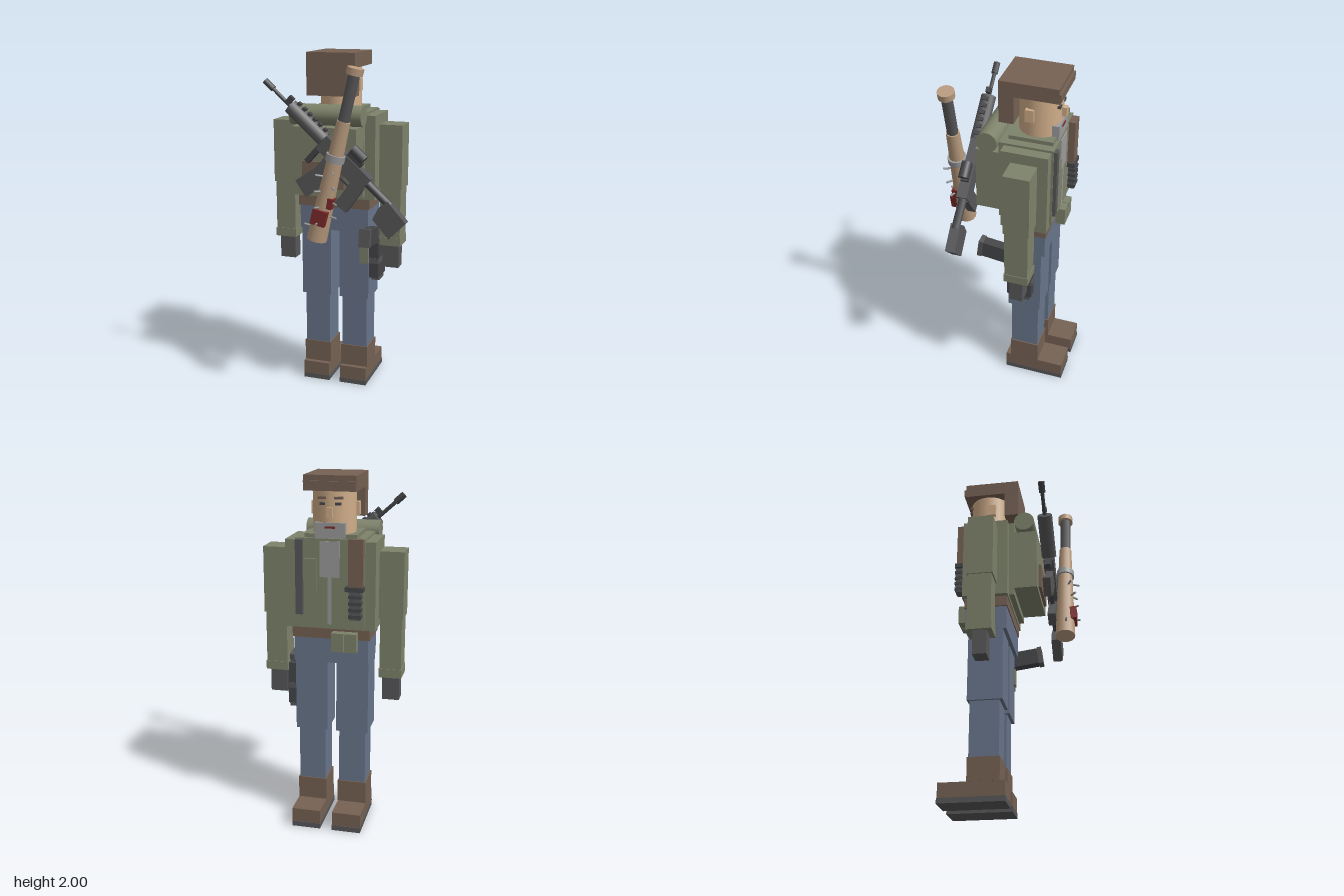
import * as THREE from 'three';

const mat = (name, color) => Object.assign(new THREE.MeshStandardMaterial({ color }), { name });

export function createModel() {
  const olive = mat('olive cloth', 0x7e836b), brown = mat('brown leather', 0x766254);
  const denim = mat('blue denim', 0x6a768c), dark = mat('dark grey', 0x58585a);
  const gun = mat('gunmetal', 0x454649), skin = mat('skin', 0xd0ad89);
  const tan = mat('tan tube', 0xba9c7f), grey = mat('light grey', 0x9c9c9c);
  const red = mat('red', 0x7d2b2b);

  const model = new THREE.Group();
  const add = (name, geo, m, parent = model) => {
    const mesh = new THREE.Mesh(geo, m);
    mesh.name = name;
    parent.add(mesh);
    return mesh;
  };
  // box given by its limits on each axis
  const box = (name, m, x0, x1, y0, y1, z0, z1, parent) => {
    const mesh = add(name, new THREE.BoxGeometry(x1 - x0, y1 - y0, z1 - z0), m, parent);
    mesh.position.set((x0 + x1) / 2, (y0 + y1) / 2, (z0 + z1) / 2);
    return mesh;
  };
  // cylinder along local x from a to b
  const rod = (name, m, a, b, r, y, parent, sides = 8, z = 0) => {
    const g = new THREE.CylinderGeometry(r, r, b - a, sides).rotateZ(-Math.PI / 2);
    const mesh = add(name, g, m, parent);
    mesh.position.set((a + b) / 2, y, z);
    return mesh;
  };
  const group = (name) => {
    const g = new THREE.Group();
    g.name = name;
    model.add(g);
    return g;
  };
  const CX = -0.057; // body centre line

  // legs, boots and arms, one of each per side
  for (const s of [-1, 1]) {
    const leg = CX + s * 0.117, arm = CX + s * 0.325;
    const limb = (name, m, c, w, y0, y1, z0, z1) => box(name, m, c - w, c + w, y0, y1, z0, z1);
    limb('sole', dark, leg, 0.083, 0, 0.03, -0.385, -0.022);
    limb('bootFoot', brown, leg, 0.082, 0.03, 0.11, -0.382, -0.024);
    limb('bootShaft', brown, leg, 0.083, 0.11, 0.24, -0.228, -0.052);
    limb('lowerLeg', denim, leg, 0.076, 0.24, 0.56, -0.222, -0.058);
    limb('thigh', denim, leg, 0.091, 0.555, 0.98, -0.235, -0.04);
    limb('upperArm', olive, arm, 0.067, 1.23, 1.6, -0.215, -0.068);
    limb('forearm', olive, arm, 0.06, 0.93, 1.23, -0.208, -0.075);
    limb('cuff', olive, arm, 0.064, 0.89, 0.94, -0.212, -0.071);
    limb('glove', dark, arm, 0.048, 0.75, 0.89, -0.177, -0.1);
  }

  // torso and clothing
  box('pelvis', denim, -0.266, 0.152, 0.97, 1.12, -0.255, -0.02);
  box('belt', brown, -0.275, 0.16, 1.11, 1.17, -0.26, -0.015);
  box('jacket', olive, -0.305, 0.193, 1.17, 1.655, -0.27, -0.01);
  box('vest', olive, -0.247, 0.133, 1.19, 1.668, -0.283, 0.02);
  box('collar', olive, -0.2, 0.085, 1.65, 1.69, -0.265, -0.02);
  box('shirt', grey, -0.112, -0.002, 1.46, 1.655, -0.288, -0.28);
  box('zip', grey, -0.067, -0.047, 1.2, 1.47, -0.288, -0.28);
  box('chestStrap', dark, 0.09, 0.13, 1.25, 1.66, -0.302, -0.28);
  box('chestPocket', olive, 0.015, 0.08, 1.38, 1.56, -0.297, -0.28);
  for (const x of [-0.21, -0.138]) box('beltPouch', olive, x, x + 0.068, 1.05, 1.155, -0.308, -0.25);

  // chest knife, handle down
  box('sheath', brown, -0.245, -0.165, 1.41, 1.675, -0.32, -0.28);
  box('knifeGuard', gun, -0.25, -0.15, 1.395, 1.42, -0.33, -0.285);
  box('knifeHandle', dark, -0.235, -0.172, 1.24, 1.4, -0.325, -0.29);
  for (let i = 0; i < 4; i++) {
    box('handleRib', gun, -0.239, -0.168, 1.25 + i * 0.036, 1.268 + i * 0.036, -0.331, -0.288);
  }

  // head
  add('head', new THREE.CylinderGeometry(0.118, 0.118, 0.26, 20), skin).position.set(CX, 1.8, -0.157);
  box('hairTop', brown, -0.2, 0.085, 1.918, 2, -0.287, 0.035);
  box('hairBack', brown, -0.2, 0.085, 1.76, 1.92, -0.047, 0.035);
  box('fringe', brown, -0.198, 0.083, 1.925, 1.97, -0.298, -0.28);
  for (const s of [-1, 1]) {
    const part = (n, m, c, w, y0, y1, z0, z1) => box(n, m, CX + s * c - w, CX + s * c + w, y0, y1, z0, z1);
    part('ear', skin, 0.118, 0.014, 1.78, 1.85, -0.153, -0.105);
    part('eyebrow', brown, 0.045, 0.023, 1.875, 1.888, -0.276, -0.25);
    part('eye', gun, 0.042, 0.015, 1.843, 1.857, -0.275, -0.25);
  }
  box('nose', skin, CX - 0.016, CX + 0.016, 1.78, 1.832, -0.298, -0.26);
  box('beard', grey, CX - 0.082, CX + 0.082, 1.67, 1.752, -0.28, -0.2);
  box('mouth', red, CX - 0.028, CX + 0.028, 1.722, 1.733, -0.284, -0.279);

  // backpack and bedroll
  box('backpack', olive, -0.247, 0.132, 1.23, 1.6, -0.01, 0.152);
  box('backpackPocket', brown, -0.18, 0.065, 1.26, 1.41, 0.15, 0.168);
  rod('bedroll', olive, -0.267, 0.153, 0.059, 1.662, model, 24, 0.081);

  // sidearm on the right thigh
  box('holster', gun, 0.15, 0.208, 0.69, 0.93, -0.195, -0.05);
  box('holsterTip', dark, 0.155, 0.203, 0.665, 0.7, -0.185, -0.09);
  box('holsterBand', dark, 0.148, 0.211, 0.78, 0.81, -0.2, -0.045);
  box('thighPouch', olive, 0.1, 0.15, 0.78, 0.88, -0.06, -0.028);
  const pistol = group('pistol');
  pistol.position.set(0.174, 0.965, 0.03);
  pistol.rotation.x = -0.13;
  box('pistolGrip', gun, -0.03, 0.03, -0.045, 0.05, -0.09, 0.09, pistol);
  box('pistolButt', dark, -0.033, 0.033, -0.05, 0.055, 0.07, 0.097, pistol);
  box('pistolFrame', dark, -0.025, 0.033, -0.05, 0.03, -0.19, -0.085, pistol);

  // rifle slung across the back: local x runs from muzzle to stock
  const rifle = group('rifle');
  rifle.position.set(-0.37, 1.845, 0.2);
  rifle.rotation.z = -0.735;
  rod('muzzle', gun, -0.01, 0.055, 0.019, 0, rifle);
  rod('barrel', gun, 0.05, 0.22, 0.011, 0, rifle);
  box('frontSight', gun, 0.15, 0.18, 0, 0.045, -0.012, 0.012, rifle);
  rod('handguard', dark, 0.19, 0.45, 0.044, 0, rifle, 8);
  for (let i = 0; i < 6; i++) {
    box('railTooth', gun, 0.21 + i * 0.04, 0.23 + i * 0.04, 0.035, 0.054, -0.015, 0.015, rifle);
  }
  box('foregrip', gun, 0.445, 0.475, -0.16, 0, -0.02, 0.02, rifle);
  box('receiver', dark, 0.45, 0.79, -0.06, 0.035, -0.03, 0.03, rifle);
  box('scopeMount', gun, 0.6, 0.7, 0.03, 0.065, -0.02, 0.02, rifle);
  rod('scope', gun, 0.6, 0.69, 0.03, 0.08, rifle, 12);
  box('magazineTop', dark, 0.52, 0.62, -0.19, -0.05, -0.022, 0.022, rifle);
  const mag = box('magazineEnd', dark, 0.5, 0.61, -0.3, -0.17, -0.022, 0.022, rifle);
  mag.rotation.z = -0.25;
  const grip = box('rifleGrip', dark, 0.725, 0.805, -0.21, -0.04, -0.024, 0.024, rifle);
  grip.rotation.z = 0.12;
  box('triggerGuard', gun, 0.62, 0.73, -0.095, -0.085, -0.012, 0.012, rifle);
  rod('bufferTube', gun, 0.78, 0.96, 0.024, 0, rifle);
  const butt = new THREE.Shape([[0.935, 0.015], [1.09, 0], [1.085, -0.135], [0.945, -0.12], [0.925, -0.05]]
    .map(([x, y]) => new THREE.Vector2(x, y)));
  add('stock', new THREE.ExtrudeGeometry(butt, { depth: 0.056, bevelEnabled: false }).translate(0, 0, -0.028), dark, rifle);

  // launcher tube on the outside: local y runs up the tube
  const tube = group('launcher');
  tube.position.set(-0.05, 1.0, 0.287);
  tube.rotation.z = -0.232;
  const seg = (name, m, r0, r1, y0, y1, sides) => {
    add(name, new THREE.CylinderGeometry(r1, r0, y1 - y0, sides), m, tube).position.y = (y0 + y1) / 2;
  };
  seg('tubeBody', tan, 0.057, 0.037, 0, 0.68, 14);
  seg('tubeNeck', dark, 0.032, 0.032, 0.67, 0.935, 8);
  seg('tubeCap', tan, 0.046, 0.046, 0.93, 0.968, 16);
  seg('tubeBand', grey, 0.053, 0.053, 0.455, 0.495, 16);
  box('redPanel', red, -0.042, 0.042, 0.1, 0.185, 0.03, 0.068, tube);
  box('redSwitch', red, 0.02, 0.052, 0.2, 0.26, 0, 0.045, tube);
  // small studs around the outer half of the tube
  for (let i = 0; i < 9; i++) {
    const a = -1.4 + ((i * 4) % 9) * 0.35;
    const stud = add('stud', new THREE.CylinderGeometry(0.006, 0.006, 0.05, 6).rotateX(Math.PI / 2), grey, tube);
    stud.position.set(Math.sin(a) * 0.062, 0.07 + i * 0.042, Math.cos(a) * 0.062);
    stud.rotation.y = a;
  }
  return model;
}
